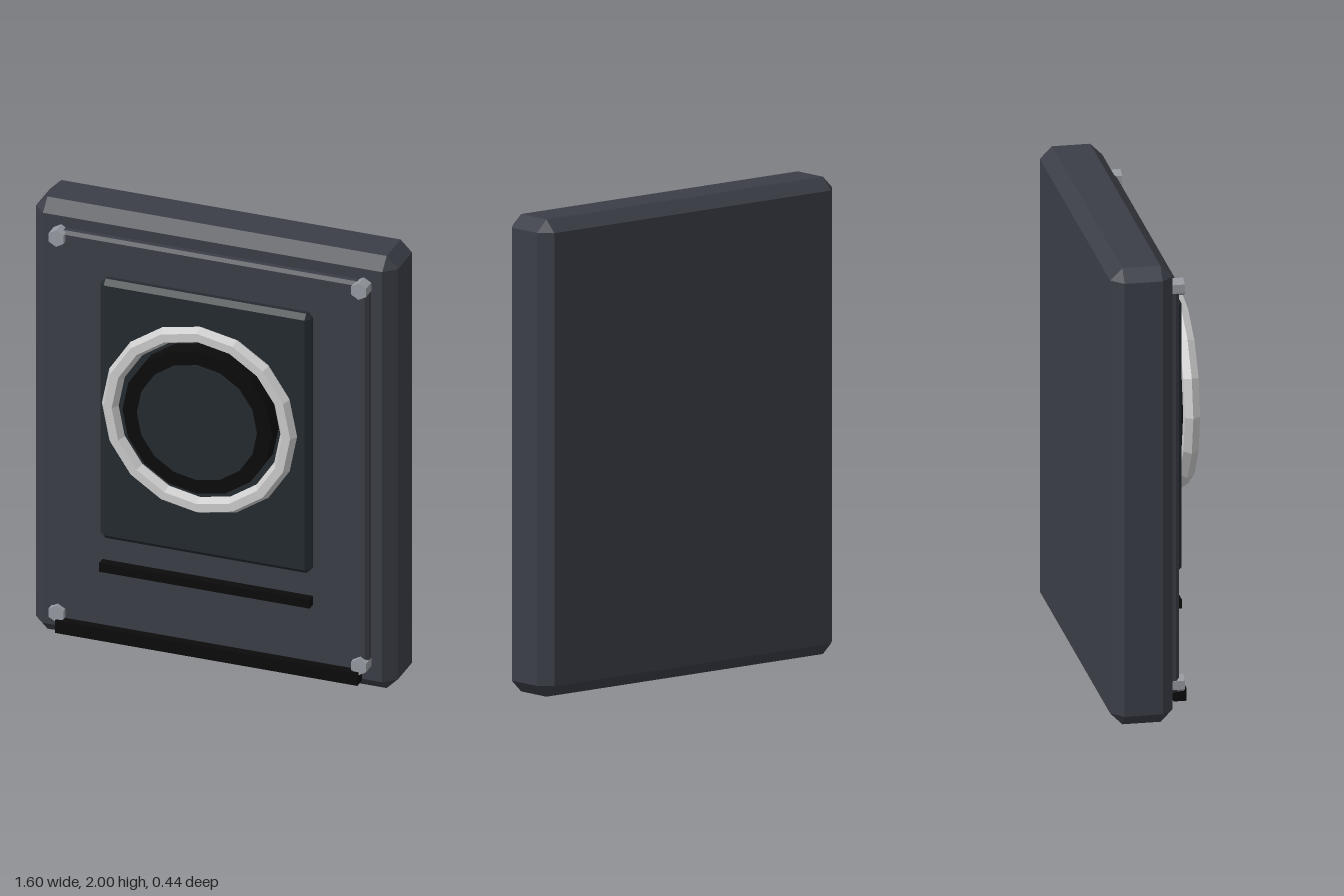
import * as THREE from 'three';
import { ConvexGeometry } from 'three/addons/geometries/ConvexGeometry.js';

const material = (color) => new THREE.MeshStandardMaterial({ color, flatShading: true });

// Box with every edge cut by c, as the hull of its 24 corners
function chamferBox(w, h, d, c) {
  const points = [];
  for (const x of [-w / 2, w / 2])
    for (const y of [-h / 2, h / 2])
      for (const z of [-d / 2, d / 2]) {
        const sx = Math.sign(x) * c, sy = Math.sign(y) * c, sz = Math.sign(z) * c;
        points.push(
          new THREE.Vector3(x, y - sy, z - sz),
          new THREE.Vector3(x - sx, y, z - sz),
          new THREE.Vector3(x - sx, y - sy, z)
        );
      }
  return new ConvexGeometry(points);
}

// Upright prism or disc turned to face +z
const disc = (r, depth, sides) => new THREE.CylinderGeometry(r, r, depth, sides).rotateX(Math.PI / 2);

export function createModel() {
  const model = new THREE.Group();
  const shell = material(0x3b3e47);
  const dark = material(0x242b30);
  const black = material(0x0b0b0b);
  const metal = material(0x979aa1);
  const silver = material(0xd0d0d0);

  const add = (name, geometry, mat, x, y, z) => {
    const mesh = new THREE.Mesh(geometry, mat);
    mesh.name = name;
    mesh.position.set(x, y, z);
    model.add(mesh);
  };

  // Case and stacked front panels
  add('body', chamferBox(1.6, 2, 0.262, 0.051), shell, 0, 1, -0.091);
  add('frontPanel', chamferBox(1.4, 1.8, 0.05, 0.014), shell, 0, 1, 0.054);
  add('lensPlate', chamferBox(0.93, 1.2, 0.064, 0.022), dark, 0, 1.137, 0.106);

  // Lens
  add('lensBarrel', disc(0.33, 0.095, 16), black, 0, 1.2, 0.168);
  add('lensGlass', disc(0.265, 0.03, 16), dark, 0, 1.2, 0.206);
  add('lensRing', new THREE.TorusGeometry(0.394, 0.037, 6, 16), silver, 0, 1.2, 0.19);

  // Slot bar and bottom bar
  add('slotBar', new THREE.BoxGeometry(0.93, 0.04, 0.04), black, 0, 0.405, 0.115);
  add('bottomBar', new THREE.BoxGeometry(1.335, 0.057, 0.054), black, 0, 0.083, 0.087);

  // Hexagonal corner bolts
  for (const [side, x] of [['Right', -0.668], ['Left', 0.668]])
    for (const [level, y] of [['lower', 0.136], ['upper', 1.873]])
      add(`${level}${side}Bolt`, disc(0.038, 0.062, 6), metal, x, y, 0.07);

  return model;
}
